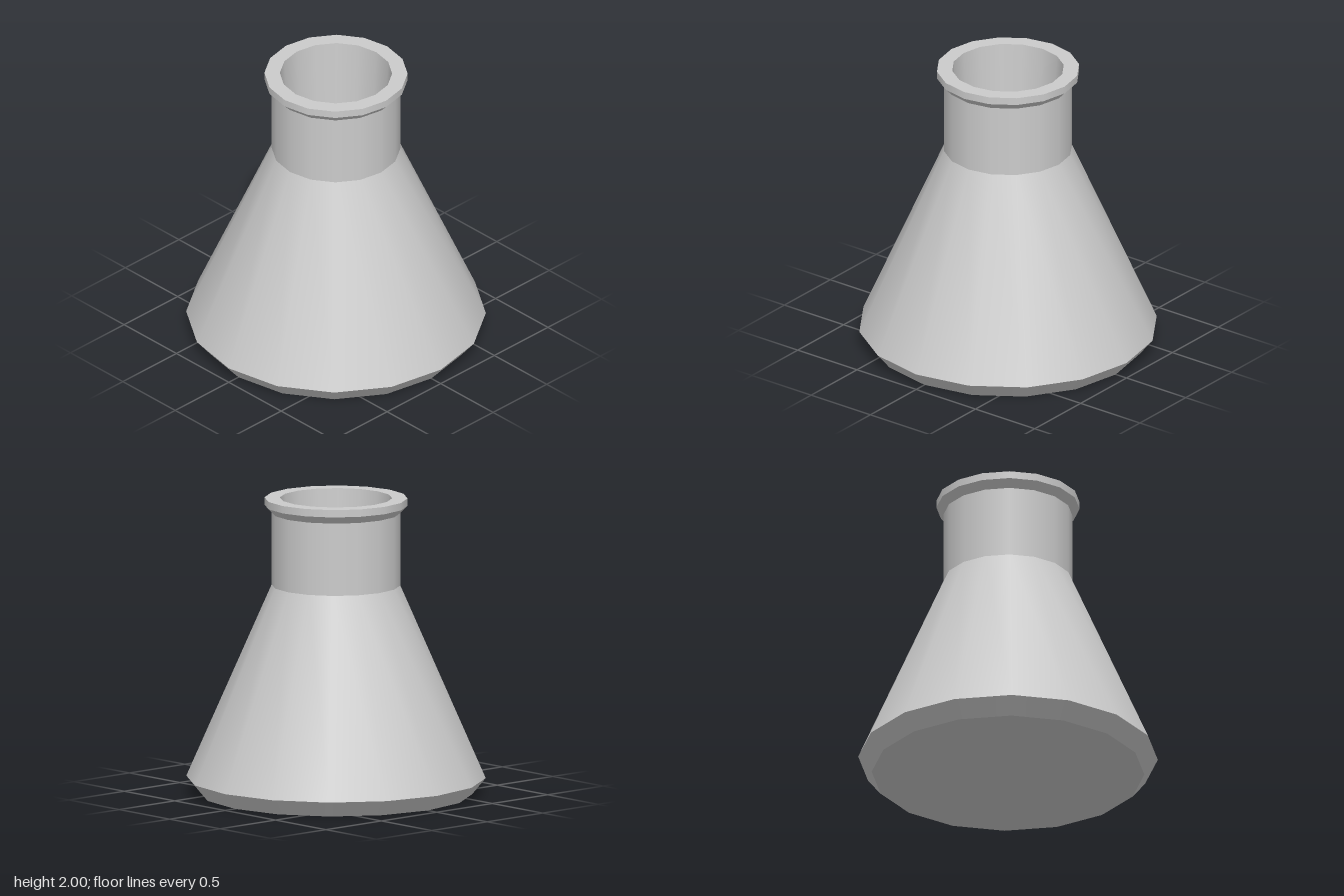
import * as THREE from 'three';
import { mergeGeometries } from 'three/addons/utils/BufferGeometryUtils.js';

const SIDES = 16;

// Revolve each profile segment on its own: smooth around, sharp between bands
function revolve(name, profile, color) {
  const bands = [];
  for (let i = 0; i < profile.length - 1; i++) {
    const pts = [profile[i], profile[i + 1]].map(([r, y]) => new THREE.Vector2(r, y));
    bands.push(new THREE.LatheGeometry(pts, SIDES));
  }
  const mesh = new THREE.Mesh(mergeGeometries(bands), new THREE.MeshStandardMaterial({ color }));
  mesh.name = name;
  return mesh;
}

export function createModel() {
  const group = new THREE.Group();
  group.name = 'conicalFlask';

  // Glass body: base, chamfer, cone, neck and flared lip
  group.add(revolve('outerGlass', [
    [0, 0], [0.91, 0], [1, 0.11], [0.43, 1.41], [0.43, 1.9],
    [0.478, 1.95], [0.478, 2], [0.375, 2],
  ], 0xcccccc));

  // Inside wall: slightly tapered neck, then the hollow cone and floor
  group.add(revolve('innerGlass', [
    [0.375, 2], [0.34, 1.4], [0.9, 0.13], [0.84, 0.06], [0, 0.06],
  ], 0xcccccc));

  // Liquid filling the lower part of the cone
  group.add(revolve('liquid', [
    [0, 0.07], [0.83, 0.07], [0.89, 0.13], [0.64, 0.7], [0, 0.7],
  ], 0xff11cc));

  return group;
}
